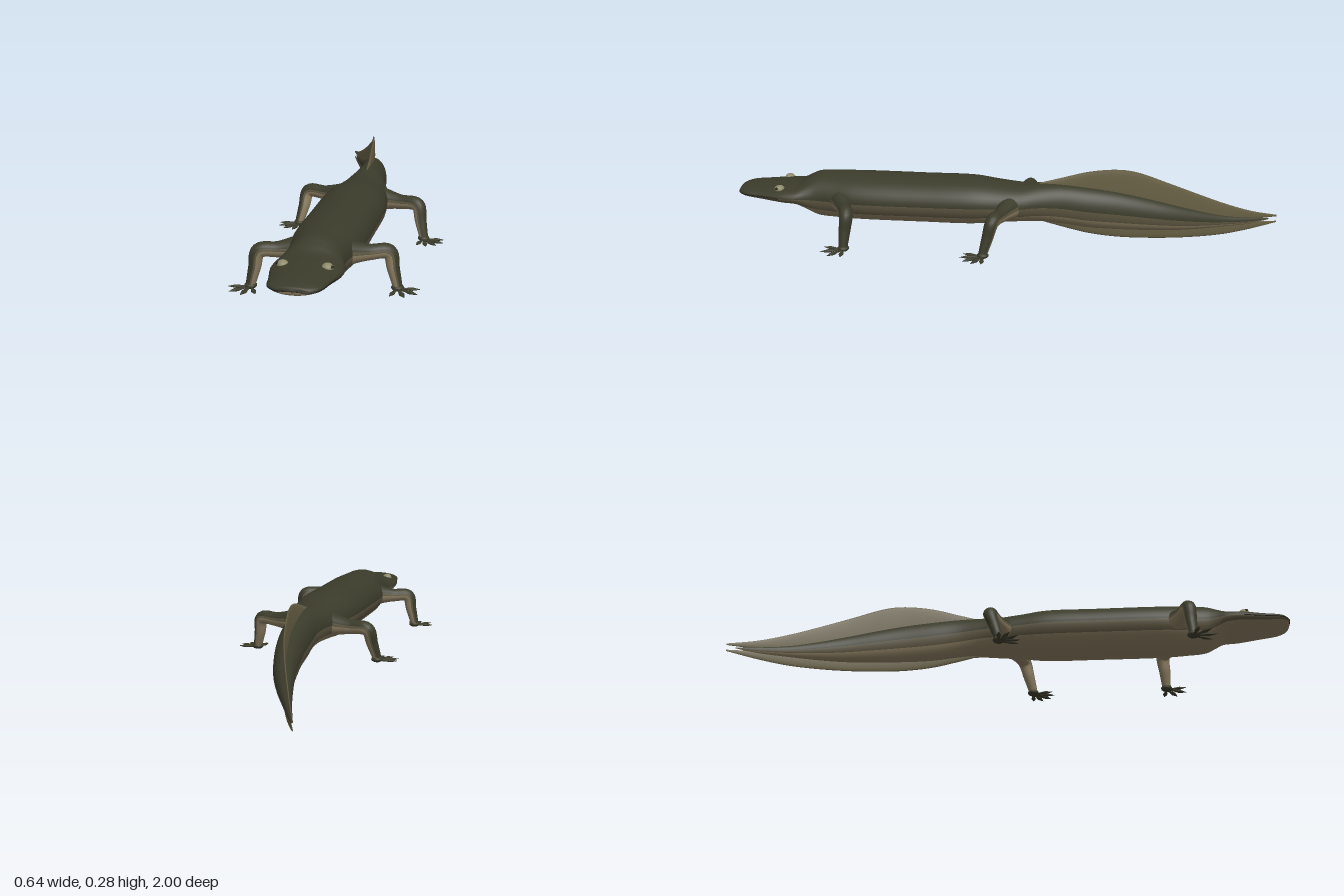
import * as THREE from 'three';

const paint = (name, color) => new THREE.MeshStandardMaterial({ name, color });

// Skin over elliptical rings {c, u, v}; pick(height) gives the material index for each strip
function loft(name, rings, sides, materials, pick) {
  const pos = [], lists = materials.map(() => []);
  for (const { c, u, v } of rings) {
    for (let j = 0; j < sides; j++) {
      const a = (j / sides) * Math.PI * 2;
      const p = c.clone().addScaledVector(u, Math.cos(a)).addScaledVector(v, Math.sin(a));
      pos.push(p.x, p.y, p.z);
    }
  }
  for (let j = 0; j < sides; j++) {
    const list = lists[pick(Math.sin(((j + 0.5) / sides) * Math.PI * 2))];
    for (let i = 0; i < rings.length - 1; i++) {
      const a = i * sides + j, b = i * sides + ((j + 1) % sides);
      list.push(a, a + sides, b, b, a + sides, b + sides);
    }
  }
  const geo = new THREE.BufferGeometry();
  geo.setAttribute('position', new THREE.Float32BufferAttribute(pos, 3));
  geo.setIndex(lists.flat());
  let start = 0;
  lists.forEach((l, k) => { geo.addGroup(start, l.length, k); start += l.length; });
  geo.computeVertexNormals();
  const mesh = new THREE.Mesh(geo, materials);
  mesh.name = name;
  return mesh;
}

// Smooth rings from stations [z, x, half width, top, bottom]
function stationRings(rows, steps) {
  const path = new THREE.CatmullRomCurve3(rows.map(([z, x, , t, b]) => new THREE.Vector3(x, (t + b) / 2, z)));
  const size = new THREE.CatmullRomCurve3(rows.map(([z, , w, t, b]) => new THREE.Vector3(w, (t - b) / 2, z)));
  return Array.from({ length: steps + 1 }, (_, i) => {
    const s = size.getPoint(i / steps);
    return {
      c: path.getPoint(i / steps),
      u: new THREE.Vector3(Math.max(s.x, 0.0005), 0, 0),
      v: new THREE.Vector3(0, Math.max(s.y, 0.0005), 0),
    };
  });
}

export function createModel() {
  const model = new THREE.Group();
  model.name = 'amphibian';
  const dark = paint('dark back', 0x3b3b2b);
  const olive = paint('olive flank', 0x5c5540);
  const tan = paint('tan belly', 0x8a7c60);
  const finMat = paint('fin olive', 0x686045);
  const eyeMat = paint('eye', 0x8c8868);
  const black = paint('pupil and mouth', 0x1c1b15);

  // Head, trunk and tail in one skin
  const body = [
    [1.0, 0, 0.0, 0.168, 0.164], [0.995, 0, 0.05, 0.178, 0.152], [0.97, 0, 0.08, 0.185, 0.146],
    [0.9, 0, 0.096, 0.192, 0.136], [0.82, 0, 0.114, 0.198, 0.127], [0.77, 0, 0.112, 0.203, 0.12],
    [0.735, 0, 0.102, 0.222, 0.095], [0.7, 0, 0.097, 0.237, 0.075], [0.63, 0, 0.105, 0.24, 0.069],
    [0.55, 0, 0.118, 0.241, 0.067], [0.3, 0, 0.12, 0.241, 0.067], [0.12, 0, 0.117, 0.241, 0.068],
    [0.03, 0, 0.104, 0.23, 0.076], [-0.06, 0, 0.09, 0.222, 0.082], [-0.12, -0.003, 0.074, 0.224, 0.082],
    [-0.2, -0.008, 0.06, 0.222, 0.073], [-0.3, -0.018, 0.057, 0.21, 0.058], [-0.4, -0.032, 0.051, 0.193, 0.05],
    [-0.5, -0.052, 0.045, 0.168, 0.043], [-0.6, -0.077, 0.037, 0.138, 0.037], [-0.7, -0.112, 0.027, 0.105, 0.033],
    [-0.8, -0.152, 0.016, 0.075, 0.032], [-0.9, -0.193, 0.008, 0.056, 0.033], [-0.97, -0.222, 0.001, 0.046, 0.042],
  ];
  model.add(loft('bodyAndTail', stationRings(body, 120), 40, [dark, olive, tan],
    (h) => (h > -0.05 ? 0 : h > -0.5 ? 1 : 2)));

  // Thin tail fins above and below
  const upperFin = [
    [-0.1, -0.002, 0.004, 0.22, 0.19], [-0.2, -0.008, 0.006, 0.246, 0.17], [-0.3, -0.018, 0.006, 0.27, 0.15],
    [-0.4, -0.032, 0.006, 0.277, 0.13], [-0.47, -0.046, 0.006, 0.266, 0.12], [-0.6, -0.077, 0.005, 0.214, 0.09],
    [-0.7, -0.112, 0.005, 0.168, 0.07], [-0.8, -0.152, 0.004, 0.122, 0.055], [-0.9, -0.193, 0.003, 0.083, 0.05],
    [-1.0, -0.235, 0.001, 0.056, 0.05],
  ];
  const lowerFin = [
    [-0.13, -0.003, 0.004, 0.11, 0.078], [-0.22, -0.01, 0.006, 0.12, 0.053], [-0.3, -0.018, 0.006, 0.12, 0.033],
    [-0.4, -0.032, 0.006, 0.11, 0.018], [-0.5, -0.052, 0.006, 0.1, 0.01], [-0.6, -0.077, 0.005, 0.085, 0.005],
    [-0.7, -0.112, 0.005, 0.07, 0.001], [-0.8, -0.152, 0.004, 0.055, 0.001], [-0.9, -0.193, 0.003, 0.042, 0.011],
    [-1.0, -0.235, 0.001, 0.032, 0.027],
  ];
  model.add(loft('upperTailFin', stationRings(upperFin, 50), 16, [finMat], () => 0));
  model.add(loft('lowerTailFin', stationRings(lowerFin, 50), 16, [finMat], () => 0));

  // Mouth line around the snout
  const half = [[0.05, 0.164, 0.995], [0.08, 0.164, 0.97], [0.096, 0.163, 0.9], [0.112, 0.161, 0.83]];
  const lip = [...half.map(([x, y, z]) => new THREE.Vector3(-x, y, z)).reverse(),
    new THREE.Vector3(0, 0.166, 1.0), ...half.map(([x, y, z]) => new THREE.Vector3(x, y, z))];
  const mouth = new THREE.Mesh(new THREE.TubeGeometry(new THREE.CatmullRomCurve3(lip), 48, 0.0018, 6), black);
  mouth.name = 'mouthLine';
  model.add(mouth);

  // Eyes
  for (const s of [-1, 1]) {
    const eye = new THREE.Mesh(new THREE.SphereGeometry(0.019, 20, 14), eyeMat);
    eye.name = s > 0 ? 'leftEye' : 'rightEye';
    eye.position.set(s * 0.07, 0.186, 0.835);
    eye.scale.set(1, 0.8, 1);
    const pupil = new THREE.Mesh(new THREE.SphereGeometry(0.006, 12, 8), black);
    pupil.name = 'pupil';
    pupil.position.set(s * 0.0145, 0.006, 0.006);
    eye.add(pupil);
    model.add(eye);
  }

  // One leg: hip, knee and ankle points, toe fan direction in degrees from +x towards +z
  const toeProfile = [[0, 0], [0.006, 0.004], [0.0055, 0.03], [0.009, 0.05], [0.006, 0.062], [0, 0.08]]
    .map(([r, y]) => new THREE.Vector2(r, y));
  const toeGeo = new THREE.LatheGeometry(toeProfile, 10).rotateZ(-Math.PI / 2).scale(1, 0.6, 1);
  function leg(name, hip, knee, ankle, heading, toes) {
    const group = new THREE.Group();
    group.name = name;
    const [h, k, a] = [hip, knee, ankle].map((p) => new THREE.Vector3(...p));
    const path = new THREE.CatmullRomCurve3([h, h.clone().lerp(k, 0.55), k, k.clone().lerp(a, 0.5), a]);
    const out = a.clone().sub(h).setY(0).normalize();
    const side = out.cross(new THREE.Vector3(0, 1, 0));
    const radii = new THREE.CatmullRomCurve3([0.046, 0.027, 0.025, 0.021, 0.016].map((r, i) => new THREE.Vector3(r, i, 0)));
    const rings = Array.from({ length: 29 }, (_, i) => {
      const t = i / 28, r = radii.getPoint(t).x;
      const v = side.clone().cross(path.getTangent(t)).setLength(r);
      return { c: path.getPoint(t), u: side.clone().multiplyScalar(r), v };
    });
    group.add(loft('limb', rings, 20, [dark, olive, tan], (q) => (q > 0.3 ? 0 : q > -0.1 ? 1 : 2)));

    const palm = new THREE.Mesh(new THREE.SphereGeometry(0.021, 16, 10), dark);
    palm.name = 'palm';
    palm.position.copy(a).setY(0.031);
    palm.scale.set(1, 0.55, 1);
    group.add(palm);
    for (let i = 0; i < toes; i++) {
      const f = i / (toes - 1) - 0.5;
      const toe = new THREE.Mesh(toeGeo, dark);
      toe.name = 'toe';
      toe.position.copy(a).setY(0.027);
      toe.rotation.y = -THREE.MathUtils.degToRad(heading + f * 105);
      toe.scale.setScalar(1.08 - 0.5 * f * f);
      group.add(toe);
    }
    model.add(group);
  }
  leg('frontLeftLeg', [0.07, 0.155, 0.605], [0.208, 0.148, 0.552], [0.237, 0.036, 0.56], 48, 4);
  leg('frontRightLeg', [-0.07, 0.155, 0.585], [-0.208, 0.148, 0.627], [-0.235, 0.036, 0.635], 115, 4);
  leg('hindLeftLeg', [0.06, 0.15, -0.02], [0.215, 0.145, 0.025], [0.243, 0.036, 0.055], 50, 5);
  leg('hindRightLeg', [-0.06, 0.15, -0.03], [-0.215, 0.145, -0.068], [-0.243, 0.036, -0.035], 122, 5);

  return model;
}
